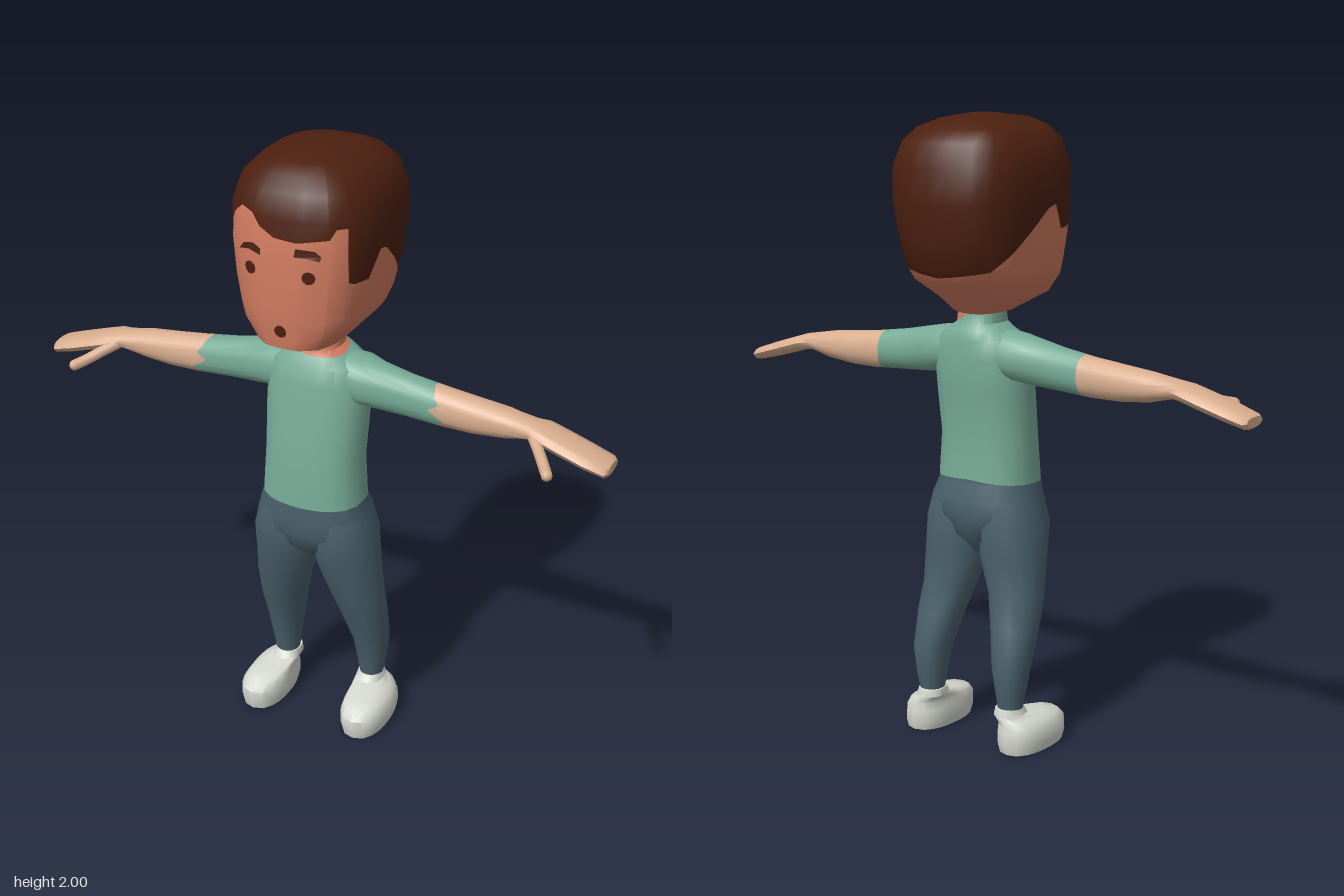
import * as THREE from 'three';
import { toCreasedNormals } from 'three/addons/utils/BufferGeometryUtils.js';

const mat = (name, color) => {
  const m = new THREE.MeshStandardMaterial({ color });
  m.name = name;
  return m;
};

// Linear lookup in a table whose first column is the key
function lookup(table, t) {
  let i = 1;
  while (i < table.length - 1 && t > table[i][0]) i++;
  const a = table[i - 1], b = table[i];
  const f = THREE.MathUtils.clamp((t - a[0]) / (b[0] - a[0]), 0, 1);
  return a.map((v, k) => v + (b[k] - v) * f);
}

// Point on a rounded-box cross-section; row = [t, uMin, uMax, vMin, vMax]
function section(rows, t, deg, n) {
  const [, u0, u1, v0, v1] = lookup(rows, t);
  const s = Math.sin(deg * Math.PI / 180), c = Math.cos(deg * Math.PI / 180);
  const r = (Math.abs(2 * s / (u1 - u0)) ** n + Math.abs(2 * c / (v1 - v0)) ** n) ** (-1 / n);
  return [(u0 + u1) / 2 + r * s, (v0 + v1) / 2 + r * c];
}

const upright = (u, v, t) => [u, t, v];   // sections stacked along y
const sideways = (u, v, t) => [t, v, u];  // sections stacked along x

// Skin over the sections between two edges; an edge is a table of [degrees, t]
function band(name, material, rows, { place = upright, from, to, side = 1, n = 2.5, seg = 24 }) {
  const first = rows[0][0], last = rows[rows.length - 1][0];
  const lo = from || [[-180, first], [180, first]];
  const hi = to || [[-180, last], [180, last]];
  const degs = [...new Set([
    ...Array.from({ length: seg }, (_, i) => -180 + i * 360 / seg),
    ...lo.map(e => e[0]), ...hi.map(e => e[0]),
  ])].filter(d => d < 180).sort((a, b) => a - b);
  const N = degs.length, pos = [], idx = [];
  for (const [t] of rows) {
    for (const d of degs) {
      const tt = Math.min(Math.max(t, lookup(lo, d)[1]), lookup(hi, d)[1]);
      const [u, v] = section(rows, tt, d, n);
      const p = place(u, v, tt);
      pos.push(p[0] * side, p[1], p[2]);
    }
  }
  for (let j = 0; j < rows.length - 1; j++) {
    for (let i = 0; i < N; i++) {
      const a = j * N + i, b = j * N + (i + 1) % N, c = b + N, d = a + N;
      if (side > 0) idx.push(a, b, c, a, c, d);
      else idx.push(a, c, b, a, d, c);
    }
  }
  const g = new THREE.BufferGeometry();
  g.setAttribute('position', new THREE.Float32BufferAttribute(pos, 3));
  g.setIndex(idx);
  const mesh = new THREE.Mesh(toCreasedNormals(g, 0.75), material);
  mesh.name = name;
  return mesh;
}

// Symmetric row: [y, half width, back z, front z]
const sym = rows => rows.map(([y, w, b, f]) => [y, -w, w, b, f]);

const HEAD = sym([
  [1.38, 0.03, -0.06, 0.06], [1.395, 0.08, -0.08, 0.1], [1.44, 0.13, -0.13, 0.262],
  [1.5, 0.185, -0.21, 0.27], [1.54, 0.198, -0.238, 0.273], [1.63, 0.216, -0.257, 0.277],
  [1.74, 0.23, -0.275, 0.277], [1.845, 0.233, -0.268, 0.266], [1.92, 0.205, -0.243, 0.25],
  [1.96, 0.165, -0.2, 0.215], [1.985, 0.11, -0.13, 0.165], [2.0, 0.03, -0.04, 0.04], [2.0001, 0.001, -0.001, 0.001],
]);
const BODY = sym([
  [0.61, 0.02, -0.02, 0.06], [0.68, 0.1, -0.08, 0.14], [0.74, 0.19, -0.095, 0.163],
  [0.8, 0.185, -0.1, 0.166], [0.85, 0.168, -0.08, 0.166], [1.0, 0.16, -0.072, 0.155],
  [1.15, 0.165, -0.09, 0.135], [1.25, 0.165, -0.1, 0.12], [1.31, 0.15, -0.095, 0.11],
  [1.34, 0.1, -0.09, 0.09], [1.36, 0.072, -0.076, 0.08], [1.43, 0.065, -0.07, 0.075],
]);
// Arm sections: x, z range, y range
const ARM = [
  [0.06, -0.07, 0.08, 1.2, 1.345], [0.15, -0.085, 0.09, 1.185, 1.335], [0.2, -0.06, 0.072, 1.178, 1.325],
  [0.3, -0.05, 0.06, 1.172, 1.305], [0.42, -0.05, 0.058, 1.165, 1.287], [0.52, -0.046, 0.058, 1.165, 1.276],
  [0.62, -0.042, 0.057, 1.175, 1.265], [0.7, -0.036, 0.062, 1.195, 1.25], [0.74, -0.05, 0.075, 1.19, 1.243],
  [0.8, -0.05, 0.08, 1.172, 1.225], [0.88, -0.047, 0.085, 1.15, 1.2], [0.945, -0.042, 0.08, 1.135, 1.178],
  [0.955, -0.03, 0.065, 1.142, 1.172], [0.9551, 0.015, 0.017, 1.156, 1.158],
];
const LEG = [
  [0.13, 0.12, 0.195, -0.1, -0.02], [0.2, 0.112, 0.205, -0.115, -0.005], [0.28, 0.1, 0.215, -0.125, 0.015],
  [0.4, 0.07, 0.222, -0.1, 0.06], [0.5, 0.04, 0.22, -0.077, 0.095], [0.62, 0.004, 0.212, -0.085, 0.132],
  [0.72, 0.004, 0.203, -0.093, 0.16], [0.8, 0.03, 0.182, -0.08, 0.15],
];
const SHOE = [
  [0, 0.18, 0.182, 0, 0.01], [0.0001, 0.118, 0.255, -0.12, 0.15], [0.03, 0.11, 0.262, -0.128, 0.158],
  [0.07, 0.11, 0.26, -0.126, 0.158], [0.095, 0.115, 0.245, -0.12, 0.135], [0.105, 0.115, 0.225, -0.118, 0.08],
  [0.118, 0.11, 0.202, -0.115, 0.0], [0.14, 0.115, 0.195, -0.11, -0.015], [0.141, 0.15, 0.152, -0.06, -0.058],
];

// Lower edge of the hair, by angle from the face (positive towards +x)
const nape = [[82, 1.72], [102, 1.66], [125, 1.585], [140, 1.54], [180, 1.515]];
const burn = [[44, 1.66], [49, 1.652], [62, 1.65], [73, 1.73]];
const sideEdge = [...burn, ...nape];
const HAIRLINE = [
  ...sideEdge.map(([d, y]) => [-d, y]).reverse(),
  [-42, 1.8], [-37, 1.83], [-30, 1.86], [-20, 1.85], [-14, 1.815], [-4, 1.79], [10, 1.785],
  [31, 1.8], [35, 1.83], [42, 1.83], ...sideEdge,
];
const COLLAR = [[-180, 1.39], [-150, 1.4], [-60, 1.39], [-30, 1.35], [0, 1.342], [60, 1.342], [100, 1.348], [140, 1.36], [180, 1.39]];
const WAIST = [[-180, 0.865], [-90, 0.852], [0, 0.845], [90, 0.852], [180, 0.865]];
const CUFF = [[-180, 0.39], [-90, 0.385], [0, 0.385], [50, 0.4], [65, 0.415], [90, 0.38], [120, 0.43], [150, 0.4], [180, 0.39]];

// Flat outline laid onto the front of the face
function faceMark(name, material, points) {
  const g = new THREE.ShapeGeometry(new THREE.Shape(points.map(p => new THREE.Vector2(...p))));
  const p = g.attributes.position;
  for (let i = 0; i < p.count; i++) {
    const x = p.getX(i), [, , w, b, f] = lookup(HEAD, p.getY(i));
    p.setZ(i, (b + f) / 2 + (f - b) / 2 * (1 - Math.abs(x / w) ** 2.8) ** (1 / 2.8) + 0.004);
  }
  g.computeVertexNormals();
  const m = new THREE.Mesh(g, material);
  m.name = name;
  return m;
}
const dot = (x, y, r) => Array.from({ length: 10 }, (_, i) =>
  [x + r * Math.cos(i * Math.PI / 5), y + r * Math.sin(i * Math.PI / 5)]);

export function createModel() {
  const hair = mat('hair brown', 0x4c200f), face = mat('face skin', 0xd27c60), skin = mat('arm skin', 0xd9ae8f);
  const shirt = mat('shirt green', 0x78ab97), trousers = mat('trouser slate', 0x4b626d), white = mat('shoe white', 0xd6d9d0);
  const model = new THREE.Group();
  model.name = 'figure';

  // Head and face
  const head = new THREE.Group();
  head.name = 'head';
  head.add(
    band('faceSkin', face, HEAD, { to: HAIRLINE, n: 2.8 }),
    band('hair', hair, HEAD, { from: HAIRLINE, n: 2.8 }),
    faceMark('rightEye', hair, dot(-0.097, 1.685, 0.02)),
    faceMark('leftEye', hair, dot(0.092, 1.685, 0.02)),
    faceMark('mouth', hair, dot(0, 1.5, 0.02)),
    faceMark('rightBrow', hair, [[-0.14, 1.732], [-0.1, 1.742], [-0.06, 1.732], [-0.06, 1.752], [-0.085, 1.764], [-0.12, 1.756]]),
    faceMark('leftBrow', hair, [[0.048, 1.745], [0.085, 1.745], [0.122, 1.738], [0.128, 1.752], [0.11, 1.768], [0.052, 1.77]]),
  );
  model.add(head);

  // Neck, torso and hips share one surface, cut at collar and waist
  model.add(
    band('neck', face, BODY, { from: COLLAR }),
    band('shirtBody', shirt, BODY, { from: WAIST, to: COLLAR }),
    band('hips', trousers, BODY, { to: WAIST }),
  );

  // Arms, legs and shoes, mirrored
  for (const side of [1, -1]) {
    const label = side > 0 ? 'left' : 'right';
    const arm = { place: sideways, side, n: 2.3, seg: 20 };
    const path = new THREE.CatmullRomCurve3([[0.71, 1.215, 0.04], [0.75, 1.195, 0.09], [0.78, 1.178, 0.13], [0.805, 1.168, 0.168]]
      .map(([x, y, z]) => new THREE.Vector3(x * side, y, z)));
    const thumb = new THREE.Mesh(new THREE.TubeGeometry(path, 8, 0.018, 8), skin);
    thumb.name = label + 'Thumb';
    const tip = new THREE.Mesh(new THREE.SphereGeometry(0.018, 8, 6), skin);
    tip.position.copy(path.getPoint(1));
    tip.name = label + 'ThumbTip';
    model.add(
      band(label + 'Sleeve', shirt, ARM, { ...arm, to: CUFF }),
      band(label + 'ForearmAndHand', skin, ARM, { ...arm, from: CUFF }),
      thumb, tip,
      band(label + 'Leg', trousers, LEG, { side, n: 2.2, seg: 16 }),
      band(label + 'Shoe', white, SHOE, { side, n: 2.4 }),
    );
  }
  return model;
}
